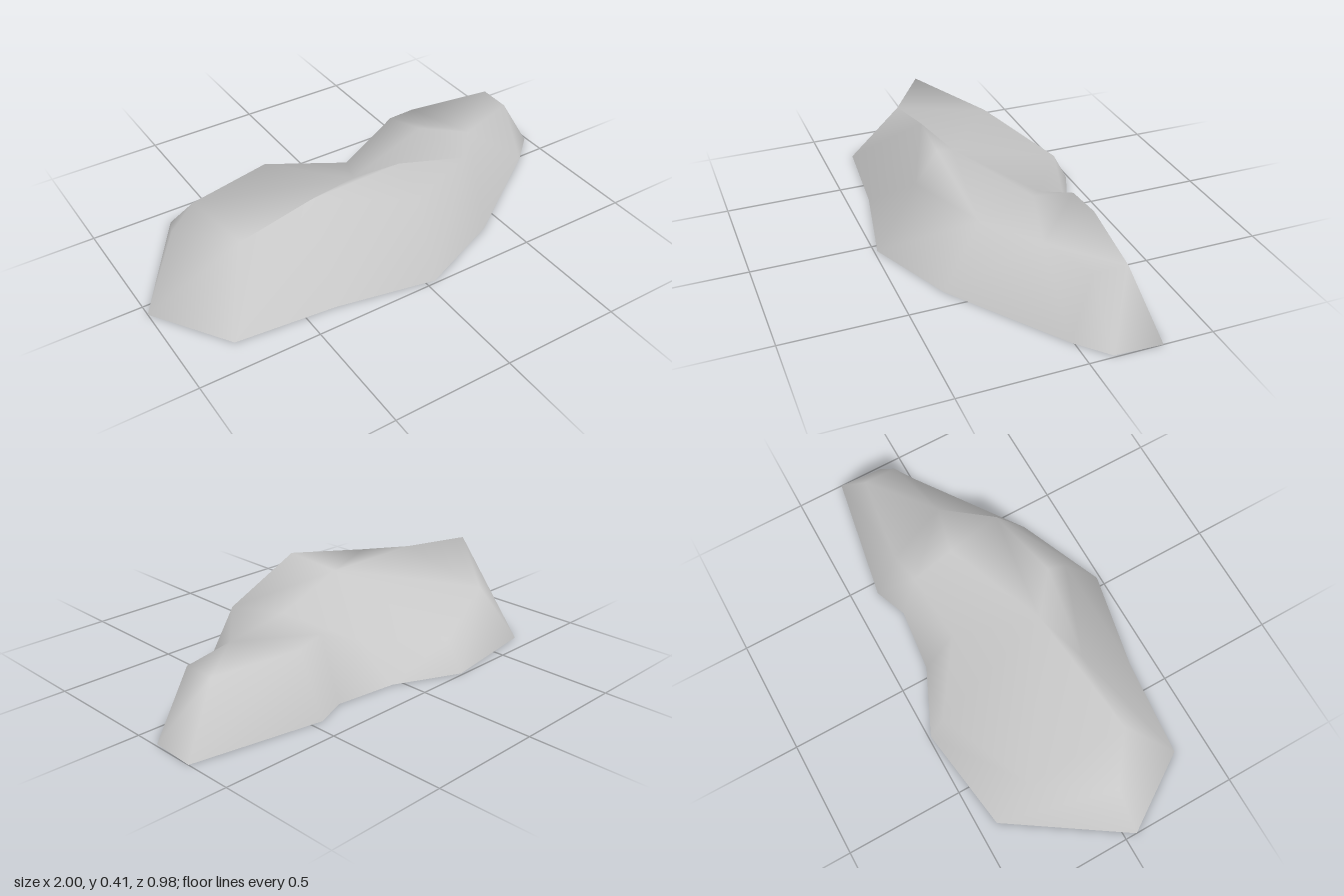
import * as THREE from 'three';

// Low rock outcrop: a ring at ground level, a shoulder ring above it,
// and three points inside the uneven crown. The underside is open.
const ground = [
  [-1, 0.05], [-0.79, 0.365], [-0.37, 0.405], [0.04, 0.487], [0.41, 0.33],
  [0.87, 0.01], [0.99, -0.1], [1, -0.295], [0.45, -0.39], [0.31, -0.335],
  [0.04, -0.365], [-0.235, -0.49], [-0.685, -0.425],
];
const shoulder = [
  [-0.85, 0.32, 0.02], [-0.645, 0.287, 0.175], [-0.33, 0.35, 0.165],
  [0.06, 0.29, 0.32], [0.4, 0.28, 0.18], [0.57, 0.24, -0.01],
  [0.83, 0.25, -0.085], [0.83, 0.252, -0.225], [0.455, 0.255, -0.275],
  [0.32, 0.27, -0.25], [0.067, 0.148, -0.215], [-0.225, 0.13, -0.42],
  [-0.645, 0.2, -0.25],
];
// Peak, knee behind it, right hump
const crown = [[0.04, 0.41, 0.22], [-0.1, 0.325, 0.105], [0.345, 0.309, -0.065]];

// Crown faces: 0-12 are shoulder points, 13-15 are crown points
const peakFaces = [[2, 3, 13], [3, 4, 13], [2, 13, 14], [13, 4, 14]];
const leftFaces = [[0, 1, 12], [1, 14, 12], [1, 2, 14], [14, 11, 12], [14, 10, 11]];
const rightFaces = [
  [4, 15, 14], [14, 15, 10], [15, 9, 10], [4, 5, 15], [5, 9, 15],
  [5, 8, 9], [5, 7, 8], [5, 6, 7],
];

function rockGeometry() {
  const n = ground.length;
  const points = [...ground.map(([x, z]) => [x, 0, z]), ...shoulder, ...crown];
  const index = [];
  // Sloping walls between the ground and the shoulder
  for (let i = 0; i < n; i++) {
    const j = (i + 1) % n;
    index.push(i, j, n + j, i, n + j, n + i);
  }
  // Uneven top
  for (const face of [...peakFaces, ...leftFaces, ...rightFaces]) {
    index.push(...face.map((k) => k + n));
  }

  const geometry = new THREE.BufferGeometry();
  geometry.setAttribute('position', new THREE.Float32BufferAttribute(points.flat(), 3));
  geometry.setIndex(index);
  geometry.computeVertexNormals();
  return geometry;
}

export function createModel() {
  const stone = new THREE.MeshStandardMaterial({ color: 0xc8c8c8, side: THREE.DoubleSide });
  stone.name = 'grey stone';
  const rock = new THREE.Mesh(rockGeometry(), stone);
  rock.name = 'rock';
  const group = new THREE.Group();
  group.name = 'rockOutcrop';
  group.add(rock);
  return group;
}
